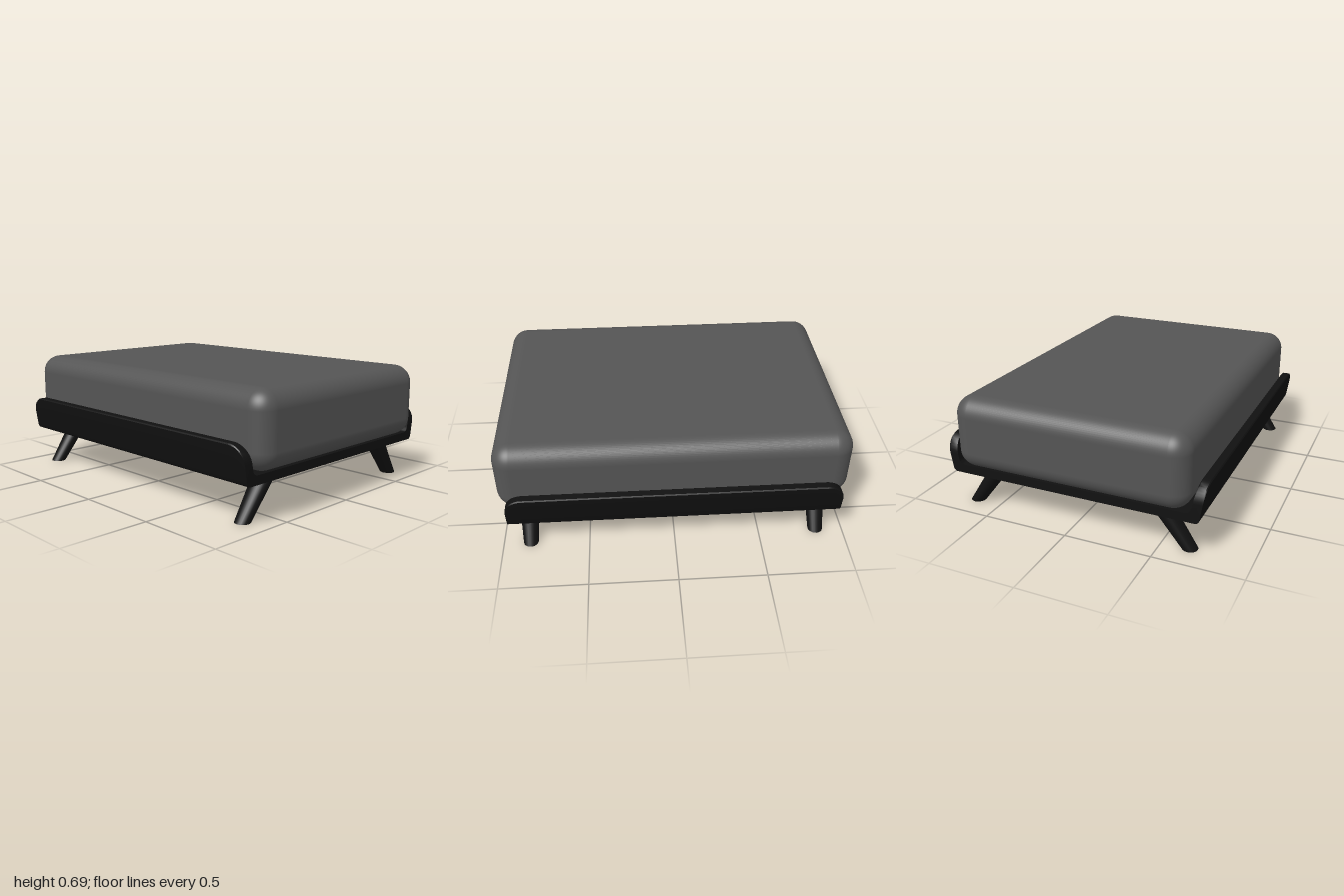
import * as THREE from 'three';
import { RoundedBoxGeometry } from 'three/addons/geometries/RoundedBoxGeometry.js';
import { toCreasedNormals } from 'three/addons/utils/BufferGeometryUtils.js';

const fabric = new THREE.MeshStandardMaterial({ color: 0x555555 });
const darkWood = new THREE.MeshStandardMaterial({ color: 0x111111 });

const HALF = 0.945;   // half length of the tray
const TOP = 0.425;    // height of the upturned lips
const FOLD = 0.3;     // lips are trimmed above this height
const CORNER = 0.1;   // radius of the lip corners

// Bent tray: a folded profile run along x, with the lip corners rounded off
function trayGeometry() {
  const s = new THREE.Shape();
  s.moveTo(-0.71, 0.215);
  s.lineTo(0.71, 0.215);
  s.quadraticCurveTo(0.732, 0.215, 0.737, 0.24);
  s.lineTo(0.765, 0.418);
  s.lineTo(0.76, TOP);
  s.lineTo(0.72, TOP);
  s.lineTo(0.714, 0.42);
  s.lineTo(0.693, 0.295);
  s.quadraticCurveTo(0.688, 0.265, 0.655, 0.265);
  s.lineTo(-0.655, 0.265);
  s.quadraticCurveTo(-0.688, 0.265, -0.693, 0.295);
  s.lineTo(-0.714, 0.42);
  s.lineTo(-0.72, TOP);
  s.lineTo(-0.76, TOP);
  s.lineTo(-0.765, 0.418);
  s.lineTo(-0.737, 0.24);
  s.quadraticCurveTo(-0.732, 0.215, -0.71, 0.215);

  const steps = 21;
  const g = new THREE.ExtrudeGeometry(s, { depth: 1, steps, bevelEnabled: false, curveSegments: 6 });
  g.rotateY(-Math.PI / 2); // profile into z-y, run along -x
  const p = g.attributes.position;
  const n = (steps - 1) / 2;
  for (let i = 0; i < p.count; i++) {
    // Stations crowd into the rounded ends
    const k = Math.round(-p.getX(i) * steps);
    const side = k <= n ? 1 : -1;
    const a = (Math.min(k, steps - k) / n) * Math.PI / 2;
    p.setX(i, side * (HALF - CORNER * (1 - Math.cos(a))));
    const y = p.getY(i), z = p.getZ(i);
    if (y > FOLD) {
      const drop = CORNER * (1 - Math.sin(a)) * (y - FOLD) / (TOP - FOLD);
      p.setY(i, y - drop);
      p.setZ(i, z - Math.sign(z) * drop * 0.165);
    }
  }
  return toCreasedNormals(g, 0.6);
}

// Tapered round leg, sheared so that both ends stay level
function legGeometry() {
  const h = 0.225;
  const g = new THREE.CylinderGeometry(0.06, 0.0435, h, 24);
  g.translate(0, h / 2, 0);
  const p = g.attributes.position;
  for (let i = 0; i < p.count; i++) p.setZ(i, p.getZ(i) - p.getY(i) * 0.72);
  g.computeVertexNormals();
  return toCreasedNormals(g, 0.6);
}

export function createModel() {
  const model = new THREE.Group();
  const add = (name, geometry, material) => {
    const mesh = new THREE.Mesh(geometry, material);
    mesh.name = name;
    model.add(mesh);
    return mesh;
  };

  add('cushion', new RoundedBoxGeometry(2, 0.42, 1.37, 8, 0.105), fabric).position.y = 0.475;
  add('tray', trayGeometry(), darkWood);

  // Four legs splayed to the front and back
  const leg = legGeometry();
  for (const x of [-1, 1]) {
    for (const z of [-1, 1]) {
      const name = (z > 0 ? 'front' : 'back') + (x > 0 ? 'Left' : 'Right') + 'Leg';
      const mesh = add(name, leg, darkWood);
      mesh.position.set(x * 0.843, 0, z * 0.658);
      if (z < 0) mesh.rotation.y = Math.PI;
    }
  }
  return model;
}
